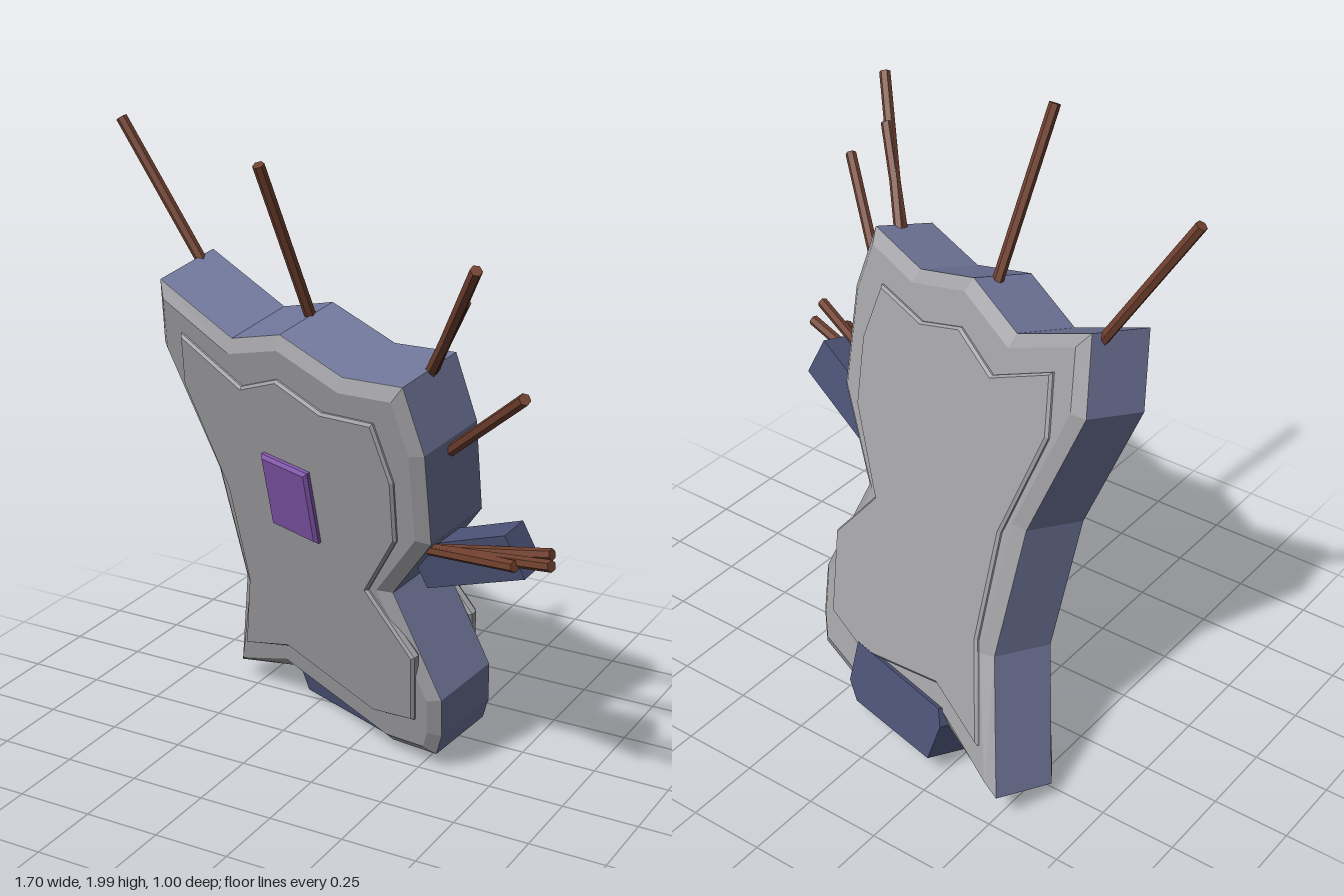
import * as THREE from 'three';

const mat = (color) => new THREE.MeshStandardMaterial({ color, flatShading: true });
const grey = mat(0xa2a2a6), blue = mat(0x70769a), darkBlue = mat(0x4c5276);
const purple = mat(0x8055a8), brown = mat(0x70402f);

// The slab leans forward and turns: its front plane is z = Z0 + SX*x + SY*y
const Z0 = -0.10, SX = 0.31, SY = 0.27, THICK = 0.27;
const normal = new THREE.Vector3(-SX, -SY, 1).normalize();
const xAxis = new THREE.Vector3(0, 1, 0).cross(normal).normalize();
const yAxis = normal.clone().cross(xAxis);
const tilt = new THREE.Quaternion().setFromRotationMatrix(
  new THREE.Matrix4().makeBasis(xAxis, yAxis, normal));
const planeOffset = Z0 * normal.z;

// Shape in the slab's plane from points given by world x and y
function planeShape(points) {
  return new THREE.Shape(points.map(([x, y]) => {
    const p = new THREE.Vector3(x, y, Z0 + SX * x + SY * y);
    return new THREE.Vector2(p.dot(xAxis), p.dot(yAxis));
  }));
}

// Layer of the slab between two depths below the front plane
function layer(name, points, from, to, material, bevel = 0, bevelDepth = bevel) {
  const geo = new THREE.ExtrudeGeometry(planeShape(points), {
    depth: Math.max(to - from - 2 * bevelDepth, 0.001), bevelEnabled: bevel > 0, bevelSegments: 1,
    bevelSize: bevel, bevelThickness: bevelDepth, bevelOffset: -bevel,
  });
  const mesh = new THREE.Mesh(geo, material);
  mesh.name = name;
  mesh.position.z = planeOffset - to + bevelDepth;
  return mesh;
}

// Thin six-sided stick between two points
function stick(name, a, b) {
  const p = new THREE.Vector3(...a), q = new THREE.Vector3(...b);
  const dir = q.clone().sub(p);
  const mesh = new THREE.Mesh(new THREE.CylinderGeometry(0.018, 0.018, dir.length(), 6), brown);
  mesh.position.copy(p).add(q).multiplyScalar(0.5);
  mesh.quaternion.setFromUnitVectors(new THREE.Vector3(0, 1, 0), dir.normalize());
  mesh.name = name;
  return mesh;
}

const outline = [
  [-0.62, 1.52], [-0.33, 1.39], [-0.11, 1.46], [0.13, 1.385], [0.37, 1.42], [0.42, 1.21],
  [0.40, 0.90], [0.21, 0.655], [0.355, 0.30], [0.335, 0.15], [0.30, 0.06], [0.11, 0.03],
  [-0.32, 0.15], [-0.59, 0.06], [-0.475, 0.46], [-0.51, 0.88], [-0.66, 1.29],
];
const panel = [
  [-0.53, 1.37], [-0.29, 1.25], [-0.125, 1.32], [0.05, 1.26], [0.26, 1.285], [0.31, 1.10],
  [0.29, 0.89], [0.135, 0.655], [0.295, 0.46], [0.255, 0.20], [0.08, 0.16],
  [-0.285, 0.265], [-0.505, 0.19], [-0.425, 0.49], [-0.44, 0.84], [-0.56, 1.19],
];

export function createModel() {
  const model = new THREE.Group();
  model.name = 'leaningSlab';

  // Slab with bevelled plates and raised panels on both faces
  const slab = new THREE.Group();
  slab.name = 'slab';
  slab.quaternion.copy(tilt);
  slab.add(
    layer('sideWall', outline, 0.025, THICK - 0.025, blue),
    layer('frontPlate', outline, 0, 0.05, grey, 0.04, 0.025),
    layer('backPlate', outline, THICK - 0.05, THICK, grey, 0.04, 0.025),
    layer('frontPanel', panel, -0.014, 0.02, grey, 0.008),
    layer('backPanel', panel, THICK - 0.02, THICK + 0.014, grey, 0.008),
    layer('frontTile', [[-0.23, 1.04], [-0.035, 1.03], [-0.035, 0.775], [-0.23, 0.785]],
      -0.035, 0.01, purple, 0.01),
    layer('foot', [[-0.34, 0.15], [-0.31, 0.025], [0.06, -0.005], [0.11, 0.04], [0.10, 0.18], [-0.32, 0.20]],
      0.06, THICK + 0.015, darkBlue),
  );
  model.add(slab);

  // Pod sticking out of the waist on the left
  const start = new THREE.Vector3(0.31, 0.775, 0.08), end = new THREE.Vector3(0.675, 0.925, 0.185);
  const along = end.clone().sub(start);
  const pod = new THREE.Mesh(new THREE.BoxGeometry(along.length(), 0.145, 0.09), darkBlue);
  const ax = along.clone().normalize();
  const ay = normal.clone().cross(ax).normalize();
  pod.quaternion.setFromRotationMatrix(
    new THREE.Matrix4().makeBasis(ax, ay, ax.clone().cross(ay)));
  pod.position.copy(start).add(end).multiplyScalar(0.5);
  pod.name = 'sidePod';
  model.add(pod);

  // Sticks along the top and side
  [
    [[-0.55, 1.53, -0.065], [-0.835, 1.98, -0.045]],
    [[-0.073, 1.46, 0.09], [-0.11, 1.99, 0.33]],
    [[0.39, 1.42, 0.23], [0.65, 1.83, 0.49]],
    [[0.39, 1.42, 0.245], [0.575, 1.71, 0.40]],
    [[0.45, 1.20, 0.215], [0.80, 1.50, 0.49]],
  ].forEach(([a, b], i) => model.add(stick(`topStick${i + 1}`, a, b)));

  // Bundle of sticks above the pod
  [[0.84, 0.98, 0.365], [0.80, 0.97, 0.27], [0.72, 0.945, 0.345]]
    .forEach((tip, i) => model.add(stick(`bundleStick${i + 1}`, [0.38, 0.87, 0.20], tip)));

  return model;
}
